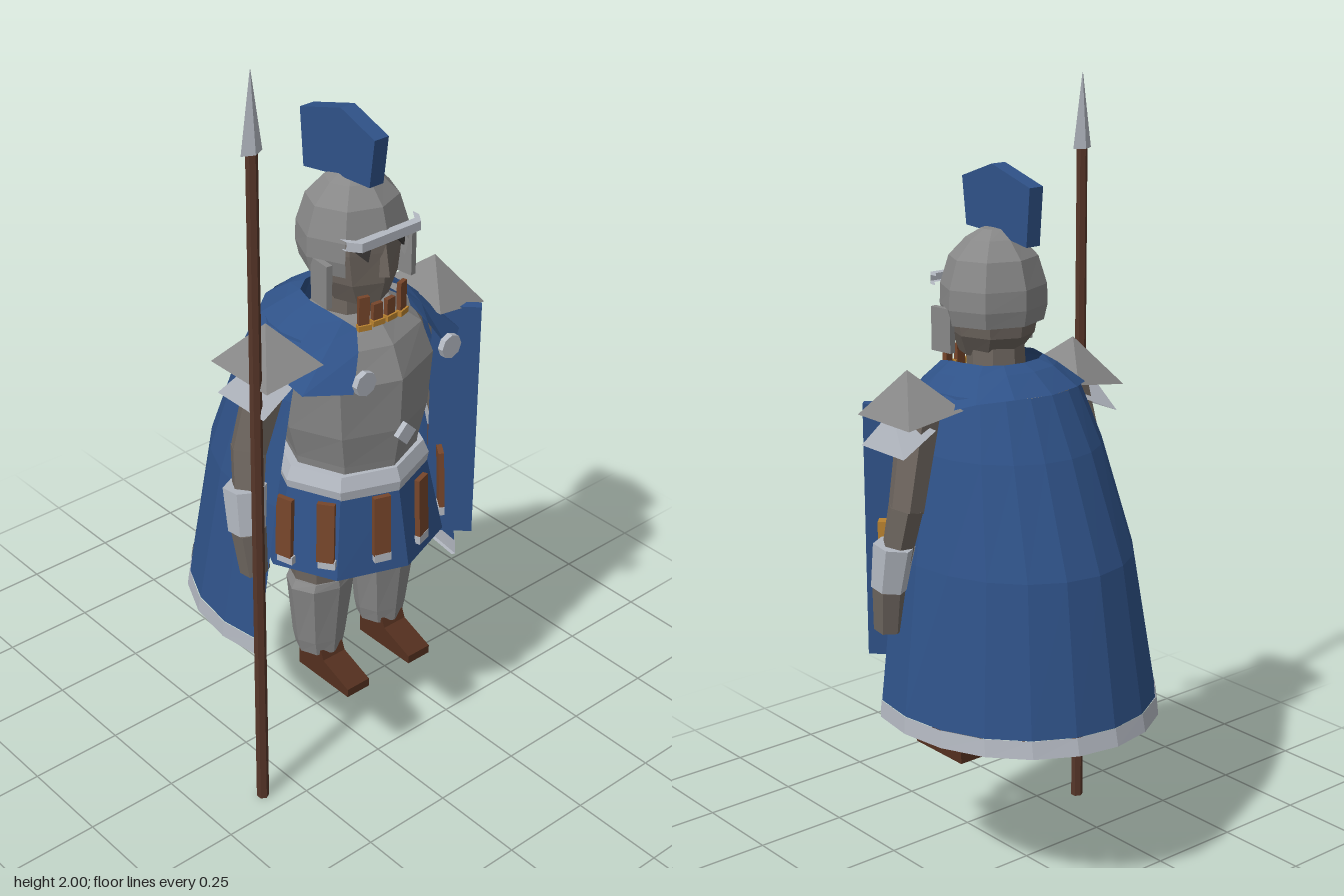
import * as THREE from 'three';

const mat = (name, color, double = false) => {
  const m = new THREE.MeshStandardMaterial({ color });
  m.name = name;
  if (double) m.side = THREE.DoubleSide;
  return m;
};

export function createModel() {
  const model = new THREE.Group();
  const blue = mat('blue cloth', 0x2f5288, true);
  const steel = mat('steel', 0x888888, true);
  const silver = mat('pale silver', 0xb4b9c2, true);
  const skin = mat('skin', 0x6e665f);
  const leather = mat('strap leather', 0x77462b);
  const boot = mat('boot leather', 0x54301f);
  const wood = mat('spear wood', 0x573629);
  const gold = mat('gold', 0xb9822f);
  const dark = mat('eye shadow', 0x3c3a39);

  // Adds a flat-shaded mesh
  const add = (name, geometry, material, parent = model) => {
    const g = geometry.index ? geometry.toNonIndexed() : geometry;
    g.computeVertexNormals();
    const mesh = new THREE.Mesh(g, material);
    mesh.name = name;
    parent.add(mesh);
    return mesh;
  };

  // Skin stretched over rows of points, listed from bottom to top
  const loft = (rows) => {
    const pos = [];
    for (let r = 0; r + 1 < rows.length; r++) {
      for (let i = 0; i + 1 < rows[r].length; i++) {
        const a = rows[r][i], b = rows[r][i + 1], c = rows[r + 1][i + 1], d = rows[r + 1][i];
        pos.push(...a, ...b, ...c, ...a, ...c, ...d);
      }
    }
    const g = new THREE.BufferGeometry();
    g.setAttribute('position', new THREE.Float32BufferAttribute(pos, 3));
    return g;
  };
  // Elliptical row; the angle starts at the front and turns towards +x
  const ring = ([y, rx, rz, cz = 0.125, cx = 0], n = 8, from = 0, to = Math.PI * 2) =>
    Array.from({ length: n + 1 }, (_, i) => {
      const a = from + ((to - from) * i) / n;
      return [cx + rx * Math.sin(a), y, cz + rz * Math.cos(a)];
    });
  const body = (list, n = 8, from, to) => loft(list.map((p) => ring(p, n, from, to)));

  // Tapered limb between two points
  const limb = (name, p, q, r1, r2, material, sides = 6) => {
    const a = new THREE.Vector3(...p), b = new THREE.Vector3(...q);
    const dir = b.clone().sub(a);
    const mesh = add(name, new THREE.CylinderGeometry(r2, r1, dir.length(), sides), material);
    mesh.position.copy(a).add(b).multiplyScalar(0.5);
    mesh.quaternion.setFromUnitVectors(new THREE.Vector3(0, 1, 0), dir.normalize());
    return mesh;
  };
  const box = (name, size, at, material, ry = 0, rx = 0) => {
    const mesh = add(name, new THREE.BoxGeometry(...size), material);
    mesh.position.set(...at);
    mesh.rotation.set(rx, ry, 0, 'YXZ');
    return mesh;
  };
  const pyramid = (name, corners, apex, material) =>
    add(name, loft([[...corners, corners[0]], Array(5).fill(apex)]), material);
  const plate = (name, points, depth, material) => {
    const shape = new THREE.Shape(points.map(([x, y]) => new THREE.Vector2(x, y)));
    return add(name, new THREE.ExtrudeGeometry(shape, { depth, bevelEnabled: false }), material);
  };

  // Breastplate, belt and skirt
  add('breastplate', body([[0.9, 0.165, 0.16], [0.94, 0.17, 0.165], [1.03, 0.195, 0.18],
    [1.17, 0.21, 0.185], [1.25, 0.185, 0.15], [1.3, 0.11, 0.1], [1.31, 0, 0]]), steel);
  add('belt', body([[0.855, 0.2, 0.182], [0.885, 0.205, 0.186], [0.92, 0.19, 0.172], [0.92, 0, 0]]), silver);
  add('skirt', body([[0.655, 0.25, 0.222], [0.87, 0.2, 0.18]]), blue);
  const diamond = add('chestDiamond', new THREE.BoxGeometry(0.042, 0.042, 0.015), silver);
  diamond.position.set(0, 1.03, 0.322);
  diamond.rotation.z = Math.PI / 4;

  // Hanging leather straps with metal tips
  for (const s of [-1, 1]) {
    for (const [x, z, turn] of [[0.066, 0.318, 0.32], [0.19, 0.255, 0.95], [0.248, 0.17, 1.3]]) {
      box('skirtStrap', [0.044, 0.165, 0.014], [s * x, 0.79, z], leather, s * turn, -0.04);
      box('strapTip', [0.044, 0.022, 0.015], [s * x, 0.7, z + 0.004], silver, s * turn, -0.04);
    }
  }

  // Neck, head and face
  limb('neck', [0, 1.28, 0.115], [0, 1.42, 0.12], 0.075, 0.07, skin, 8);
  add('head', body([[1.345, 0, 0, 0.14], [1.345, 0.07, 0.08, 0.145], [1.4, 0.1, 0.11, 0.13],
    [1.48, 0.115, 0.118], [1.54, 0.115, 0.118]]), skin);
  limb('nose', [0, 1.42, 0.24], [0, 1.5, 0.235], 0.018, 0.008, skin, 4);
  for (const s of [-1, 1]) {
    const eye = plate('eye', [[-0.025, 0.018], [0.018, -0.022], [0.025, 0.018]], 0.006, dark);
    eye.position.set(s * 0.06, 1.487, 0.222);
    eye.rotation.y = s * 0.42;
  }

  // Helmet
  add('helmetDome', body([[1.52, 0.138, 0.125], [1.59, 0.115, 0.105], [1.635, 0.07, 0.065],
    [1.657, 0.03, 0.03], [1.658, 0, 0]]), steel);
  add('helmetSkirt', body([[1.43, 0.13, 0.118], [1.47, 0.14, 0.126], [1.52, 0.138, 0.125]],
    6, Math.PI / 4, Math.PI * 1.75), steel);
  add('visor', loft([[1.515, 0.245], [1.515, 0.262], [1.538, 0.262], [1.538, 0.24]].map(([y, z]) =>
    [[-0.112, y, z - 0.03], [-0.09, y, z], [0.09, y, z], [0.112, y, z - 0.03]])), silver);
  for (const s of [-1, 1]) {
    box('cheekGuard', [0.016, 0.11, 0.065], [s * 0.128, 1.415, 0.165], steel, s * 0.12);
  }

  // Crest blade
  const crest = plate('crest', [[-0.245, 1.77], [-0.23, 1.65], [-0.125, 1.645], [0, 1.625],
    [0.012, 1.77], [-0.13, 1.812]], 0.042, blue);
  crest.rotation.y = Math.PI / 2;
  crest.position.x = -0.042;

  // Collar straps
  for (const x of [-0.06, -0.018, 0.022, 0.06]) {
    const edge = Math.abs(x) > 0.04;
    box('collarStrap', [0.027, edge ? 0.085 : 0.055, 0.012], [x, edge ? 1.34 : 1.325, 0.235], leather, x * 5);
    box('collarTip', [0.034, 0.014, 0.016], [x, 1.304, 0.238], gold, x * 5);
  }

  // Cape with pale hem, open at the front
  const open = [12, Math.PI * 0.4, Math.PI * 1.6];
  add('cape', body([[0.485, 0.35, 0.388, 0.052], [0.865, 0.295, 0.345, 0.07], [1.135, 0.24, 0.262, 0.092],
    [1.28, 0.195, 0.196, 0.1]], ...open), blue);
  add('capeHem', body([[0.44, 0.355, 0.398, 0.05], [0.485, 0.352, 0.39, 0.052]], ...open), silver);
  add('hemEdge', body([[0.44, 0.345, 0.385, 0.05], [0.44, 0.355, 0.398, 0.05]], ...open), silver);

  // Shoulder mantle
  const wrap = (half) => [...half.slice(1).reverse(), ...half.map(([x, y, z]) => [-x, y, z])];
  add('mantle', loft([
    wrap([[0, 1.28, -0.097], [0.1, 1.28, -0.075], [0.175, 1.27, -0.02], [0.235, 1.24, 0.06],
      [0.255, 1.21, 0.16], [0.25, 1.19, 0.24], [0.155, 1.19, 0.31]]),
    wrap([[0, 1.325, -0.03], [0.075, 1.325, -0.015], [0.125, 1.32, 0.03], [0.15, 1.315, 0.09],
      [0.15, 1.31, 0.16], [0.14, 1.29, 0.22], [0.11, 1.27, 0.275]]),
    wrap([[0, 1.34, 0.01], [0.055, 1.34, 0.02], [0.095, 1.34, 0.05], [0.115, 1.34, 0.11],
      [0.11, 1.335, 0.16], [0.1, 1.325, 0.21], [0.085, 1.31, 0.24]]),
  ]), blue);

  for (const s of [-1, 1]) {
    // Cloak brooch
    const brooch = add('brooch', new THREE.CylinderGeometry(0.031, 0.031, 0.016, 8), silver);
    brooch.rotation.x = Math.PI / 2;
    brooch.position.set(s * 0.135, 1.22, 0.325);

    // Layered shoulder guards
    pyramid('shoulderGuard', [[s * 0.185, 1.25, 0.24], [s * 0.345, 1.225, 0.228],
      [s * 0.345, 1.225, 0.022], [s * 0.185, 1.25, 0.015]], [s * 0.267, 1.343, 0.13], steel);
    pyramid('lowerShoulderGuard', [[s * 0.235, 1.2, 0.2], [s * 0.345, 1.15, 0.215],
      [s * 0.345, 1.15, 0.045], [s * 0.235, 1.2, 0.06]], [s * 0.315, 1.25, 0.13], silver);

    // Arm
    limb('upperArm', [s * 0.235, 1.26, 0.12], [s * 0.3, 1.0, 0.1], 0.055, 0.046, skin);
    limb('forearm', [s * 0.3, 1.01, 0.1], [s * 0.33, 0.8, 0.13], 0.046, 0.036, skin);
    limb('bracer', [s * 0.333, 0.8, 0.13], [s * 0.325, 0.915, 0.115], 0.046, 0.054, silver);
    limb('hand', [s * 0.325, 0.685, 0.148], [s * 0.33, 0.8, 0.133], 0.037, 0.043, skin);

    // Leg, greave and boot
    limb('thigh', [s * 0.105, 0.55, 0.13], [s * 0.1, 0.88, 0.125], 0.075, 0.09, skin, 8);
    const x = s * 0.105;
    add('greave', body([[0.345, 0, 0, 0.13, x], [0.345, 0.06, 0.06, 0.13, x], [0.385, 0.07, 0.064, 0.13, x],
      [0.56, 0.094, 0.076, 0.135, x], [0.58, 0.082, 0.072, 0.135, x], [0.58, 0, 0, 0.135, x]]), steel);
    const foot = plate('boot', [[-0.285, 0.275], [-0.095, 0.275], [-0.095, 0.36], [-0.18, 0.36],
      [-0.19, 0.335], [-0.285, 0.298]], 0.072, boot);
    foot.rotation.y = Math.PI / 2;
    foot.position.x = x - 0.036;
  }

  // Shield board held at the left side, with its gold mount
  box('shieldBoard', [0.026, 0.66, 0.12], [0.263, 0.912, 0.217], blue, Math.PI / 4);
  box('shieldMount', [0.035, 0.075, 0.075], [0.272, 0.91, 0.19], gold, Math.PI / 4);

  // Spear
  limb('spearShaft', [-0.345, 0, 0.188], [-0.345, 1.815, 0.188], 0.016, 0.014, wood);
  limb('spearHead', [-0.345, 1.81, 0.188], [-0.345, 2, 0.188], 0.03, 0.001, silver, 4).scale.z = 0.5;

  return model;
}
